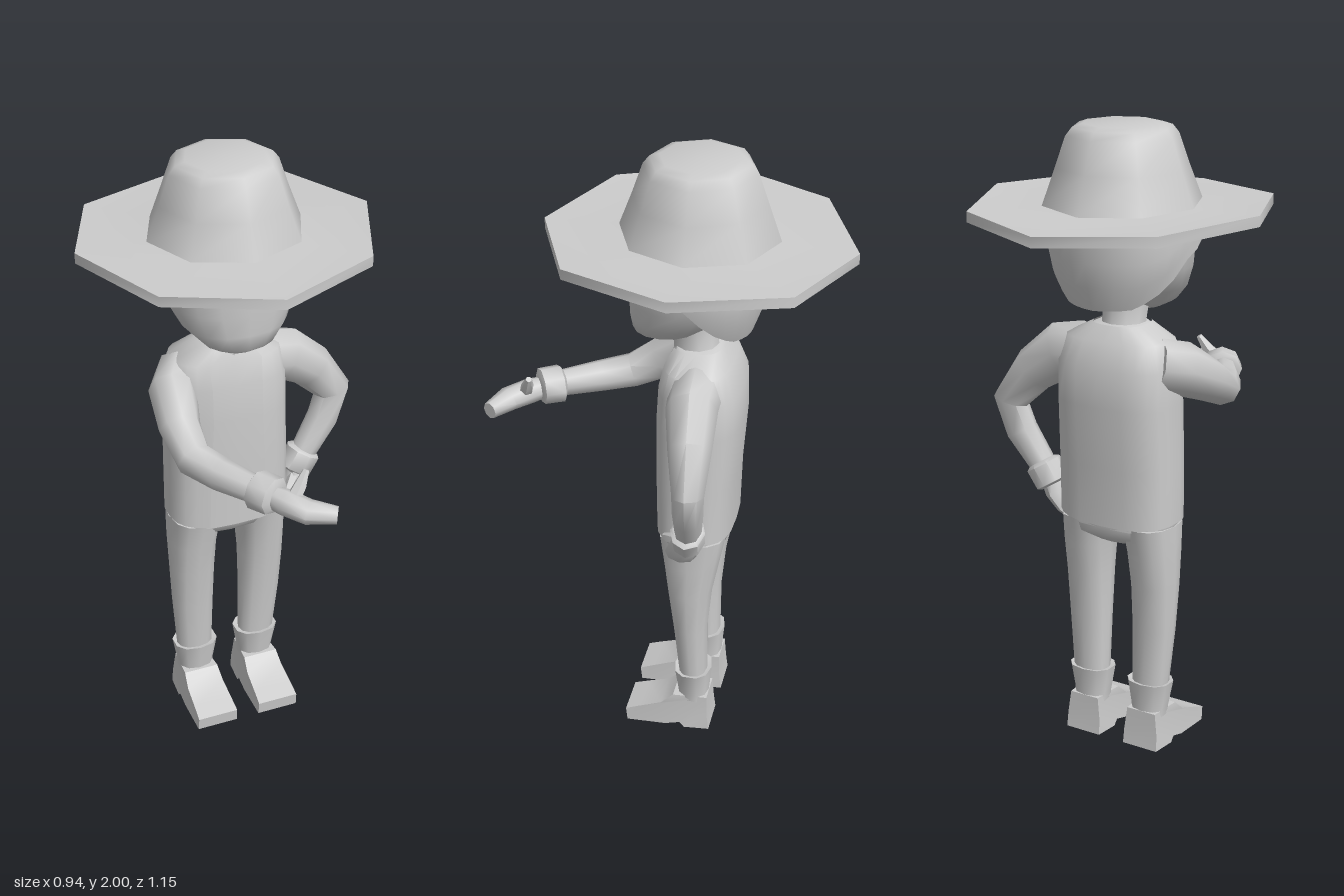
import * as THREE from 'three';
import { toCreasedNormals } from 'three/addons/utils/BufferGeometryUtils.js';

const V = (x, y, z) => new THREE.Vector3(x, y, z);

// Skin a list of rings (each a list of points) into one surface
function loft(rings, { closed = true, caps = true, crease = 0.95 } = {}) {
  const n = rings[0].length, pos = [], idx = [];
  rings.forEach(r => r.forEach(p => pos.push(p.x, p.y, p.z)));
  for (let i = 0; i < rings.length - 1; i++) {
    for (let j = 0; j < (closed ? n : n - 1); j++) {
      const k = (j + 1) % n, a = i * n + j, b = i * n + k;
      idx.push(a, b, b + n, a, b + n, a + n);
    }
  }
  if (caps) {
    [[0, true], [rings.length - 1, false]].forEach(([r, flip]) => {
      const c = rings[r].reduce((s, p) => s.add(p), V(0, 0, 0)).divideScalar(n);
      const ci = pos.length / 3;
      pos.push(c.x, c.y, c.z);
      for (let j = 0; j < n; j++) {
        const a = r * n + j, b = r * n + (j + 1) % n;
        idx.push(ci, flip ? b : a, flip ? a : b);
      }
    });
  }
  const g = new THREE.BufferGeometry();
  g.setAttribute('position', new THREE.Float32BufferAttribute(pos, 3));
  g.setIndex(idx);
  return toCreasedNormals(g, crease);
}

// Point of a rounded horizontal section [y, rx, rz, cz, cx]; angle 0 faces front
const bend = (v, p) => Math.sign(v) * Math.abs(v) ** p;
const at = ([y, rx, rz, cz = 0, cx = 0], a, p = 1) =>
  V(cx + rx * bend(Math.sin(a), p), y, cz + rz * bend(Math.cos(a), p));
const ring = (s, n, p = 1, from = 0, span = Math.PI * 2, open = false) =>
  Array.from({ length: n }, (_, j) => at(s, from + span * j / (open ? n - 1 : n), p));

// Limb along stops [x, y, z, ru, rv]
function sweep(stops, ref, n = 8) {
  const pts = stops.map(s => V(s[0], s[1], s[2]));
  return loft(stops.map((s, i) => {
    const t = pts[Math.min(i + 1, pts.length - 1)].clone().sub(pts[Math.max(i - 1, 0)]).normalize();
    const u = ref.clone().cross(t).normalize(), v = t.clone().cross(u);
    return Array.from({ length: n }, (_, j) => {
      const a = j / n * Math.PI * 2;
      return pts[i].clone().addScaledVector(u, s[3] * Math.cos(a)).addScaledVector(v, (s[4] ?? s[3]) * Math.sin(a));
    });
  }));
}

// Linear lookup in a table of rows keyed by the first entry
function lookup(rows, k) {
  let i = 0;
  while (i < rows.length - 2 && k > rows[i + 1][0]) i++;
  const t = THREE.MathUtils.clamp((k - rows[i][0]) / (rows[i + 1][0] - rows[i][0]), 0, 1);
  return rows[i].map((v, c) => v + (rows[i + 1][c] - v) * t);
}

export function createModel() {
  const model = new THREE.Group();
  const grey = new THREE.MeshStandardMaterial({ color: 0xcccccc, side: THREE.DoubleSide });
  grey.name = 'plain grey';
  const add = (name, geometry, parent = model) => {
    const m = new THREE.Mesh(geometry, grey);
    m.name = name;
    parent.add(m);
    return m;
  };

  // Hat: eight-sided, from the underside out over the brim and up the crown
  const hatRings = [
    [1.725, 0.2, 0.2], [1.718, 0.33, 0.33], [1.717, 0.47, 0.475], [1.75, 0.47, 0.475],
    [1.752, 0.36, 0.36], [1.76, 0.248, 0.245], [1.87, 0.208, 0.205], [1.965, 0.175, 0.172],
    [1.99, 0.155, 0.152], [2.0, 0.125, 0.122],
  ].map(([y, rx, rz], i) => ring([y, rx, rz, -0.097], 8).map(p => {
    if (i < 6) p.y += 0.02 * (p.x / 0.47) ** 2 + 0.02 * (p.z + 0.1);
    return p;
  }));
  add('hat', loft(hatRings, { crease: 0.85 }));

  // Head and neck
  add('head', loft([
    [1.425, 0.065, 0.06, 0.01], [1.45, 0.115, 0.105, 0], [1.5, 0.165, 0.14, -0.03],
    [1.57, 0.2, 0.178, -0.066], [1.65, 0.215, 0.2, -0.085], [1.75, 0.212, 0.2, -0.09],
  ].map(s => ring(s, 16, 0.9))));
  add('neck', loft([[1.34, 0.09, 0.08, -0.1], [1.4, 0.07, 0.07, -0.09], [1.47, 0.075, 0.075, -0.08]].map(s => ring(s, 10))));

  // Hair: cap with a wavy hem, high over the face and low at the nape
  const hairShape = [
    [1.45, 0.14, 0.15, -0.11], [1.5, 0.185, 0.185, -0.1], [1.57, 0.217, 0.21, -0.09],
    [1.64, 0.23, 0.225, -0.085], [1.76, 0.225, 0.225, -0.088],
  ];
  const hem = [
    [0, 1.69], [0.3, 1.668], [0.6, 1.685], [1.2, 1.65], [1.6, 1.61],
    [1.85, 1.53], [2.3, 1.47], [3.15, 1.46],
  ];
  const hairRings = [-1, 0, 0.25, 0.5, 0.75, 1].map(t => Array.from({ length: 32 }, (_, j) => {
    const a = j / 32 * Math.PI * 2;
    const low = lookup(hem, a > Math.PI ? Math.PI * 2 - a : a)[1];
    const s = lookup(hairShape, low + (1.76 - low) * Math.max(t, 0));
    if (t < 0) { s[1] -= 0.04; s[2] -= 0.04; }
    return at(s, a, 0.9);
  }));
  add('hair', loft(hairRings, { caps: false }));

  // Torso: shirt inside a waistcoat that is open at the front
  const body = [
    [0.77, 0.2, 0.123, -0.105], [0.95, 0.2, 0.127, -0.106], [1.15, 0.196, 0.135, -0.113],
    [1.27, 0.195, 0.13, -0.115], [1.35, 0.175, 0.105, -0.108], [1.395, 0.085, 0.078, -0.1],
  ];
  add('shirt', loft(body.map(([y, rx, rz, cz], i) =>
    ring([i ? y : 0.75, rx - 0.01, rz - 0.01, cz], 20, 0.7))));
  const gaps = [0.36, 0.34, 0.3, 0.3, 0.38, 0.6];
  const vestRings = body.map((s, i) => ring(s, 21, 0.7, gaps[i], Math.PI * 2 - 2 * gaps[i], true));
  vestRings[0].forEach(p => { p.y += 0.1 * Math.max(0, Math.abs(p.x) - 0.1) - 0.01; });
  add('waistcoat', loft(vestRings, { closed: false, caps: false }));

  // Hips
  add('hips', loft([
    [0.69, 0.08, 0.06, -0.11], [0.72, 0.17, 0.1, -0.112], [0.76, 0.195, 0.113, -0.108], [0.82, 0.19, 0.112, -0.105],
  ].map(s => ring(s, 16, 0.8))));

  // Legs and boots
  const foot = new THREE.Shape([
    [-0.178, 0], [-0.095, 0], [-0.08, 0.018], [-0.03, 0.004], [0.1, 0], [0.105, 0.045],
    [0.06, 0.062], [-0.015, 0.088], [-0.055, 0.125], [-0.168, 0.125], [-0.172, 0.05],
  ].map(([z, y]) => new THREE.Vector2(z, y)));
  for (const side of [1, -1]) {
    const leg = new THREE.Group();
    leg.name = side > 0 ? 'leftLeg' : 'rightLeg';
    model.add(leg);
    add('trouserLeg', loft([
      [0.19, 0.06, 0.045, -0.115, 0.112], [0.4, 0.07, 0.055, -0.105, 0.12], [0.55, 0.074, 0.072, -0.102, 0.122],
      [0.66, 0.078, 0.09, -0.105, 0.12], [0.76, 0.085, 0.108, -0.106, 0.112],
    ].map(([y, rx, rz, cz, cx]) => ring([y, rx, rz, cz, cx * side], 12, 0.85))), leg);
    add('bootShaft', loft([
      [0.08, 0.058, 0.05, -0.118, 0.11], [0.13, 0.06, 0.052, -0.115, 0.11],
      [0.22, 0.076, 0.062, -0.113, 0.111], [0.215, 0.055, 0.045, -0.113, 0.111],
    ].map(([y, rx, rz, cz, cx]) => ring([y, rx, rz, cz, cx * side], 10, 0.85))), leg);
    const g = new THREE.ExtrudeGeometry(foot, { depth: 0.14, bevelEnabled: false });
    g.translate(0, 0, -0.07).rotateY(-Math.PI / 2);
    const p = g.attributes.position;
    for (let i = 0; i < p.count; i++) {
      const taper = 1 - Math.max(0, p.getY(i) - 0.04) * 1.8 - (p.getZ(i) < -0.1 ? 0.1 : 0);
      p.setX(i, p.getX(i) * taper + 0.11 * side);
    }
    add('bootFoot', toCreasedNormals(g, 0.7), leg);
  }

  // Left arm: hand on the hip
  const Z = V(0, 0, 1), Y = V(0, 1, 0);
  const left = new THREE.Group();
  left.name = 'leftArm';
  model.add(left);
  add('sleeve', sweep([
    [0.12, 1.29, -0.115, 0.09, 0.085], [0.21, 1.275, -0.12, 0.09, 0.08], [0.31, 1.2, -0.135, 0.075, 0.068],
    [0.395, 1.09, -0.147, 0.062, 0.05], [0.36, 0.99, -0.14, 0.054, 0.048], [0.28, 0.87, -0.125, 0.042],
  ], Z), left);
  add('cuff', sweep([
    [0.293, 0.892, -0.126, 0.045], [0.288, 0.884, -0.126, 0.062, 0.055],
    [0.255, 0.828, -0.122, 0.06, 0.053], [0.25, 0.82, -0.122, 0.04],
  ], Z), left);
  add('hand', sweep([
    [0.27, 0.85, -0.12, 0.033], [0.25, 0.8, -0.108, 0.036, 0.048],
    [0.222, 0.75, -0.09, 0.03, 0.05], [0.185, 0.708, -0.085, 0.016, 0.03],
  ], Z), left);
  add('thumb', sweep([[0.24, 0.81, -0.09, 0.022], [0.21, 0.795, -0.055, 0.019], [0.188, 0.785, -0.028, 0.01]], Z, 6), left);

  // Right arm: forearm held out to the front
  const right = new THREE.Group();
  right.name = 'rightArm';
  model.add(right);
  add('sleeve', sweep([
    [-0.14, 1.28, -0.13, 0.075, 0.085], [-0.19, 1.26, -0.06, 0.075, 0.085], [-0.212, 1.2, 0.06, 0.066, 0.07],
    [-0.205, 1.145, 0.16, 0.06, 0.055], [-0.155, 1.138, 0.26, 0.054, 0.05], [-0.08, 1.135, 0.385, 0.042],
  ], Y), right);
  add('cuff', sweep([
    [-0.09, 1.137, 0.362, 0.045], [-0.085, 1.137, 0.37, 0.066, 0.06],
    [-0.052, 1.137, 0.425, 0.064, 0.058], [-0.047, 1.137, 0.433, 0.04],
  ], Y), right);
  add('hand', sweep([
    [-0.07, 1.135, 0.4, 0.033], [-0.03, 1.13, 0.455, 0.042, 0.04],
    [0.02, 1.12, 0.515, 0.044, 0.036], [0.095, 1.115, 0.555, 0.026, 0.028],
  ], Y), right);
  add('thumb', sweep([[-0.01, 1.14, 0.465, 0.024], [0.02, 1.175, 0.45, 0.02], [0.044, 1.215, 0.437, 0.01]], Z, 6), right);

  return model;
}
